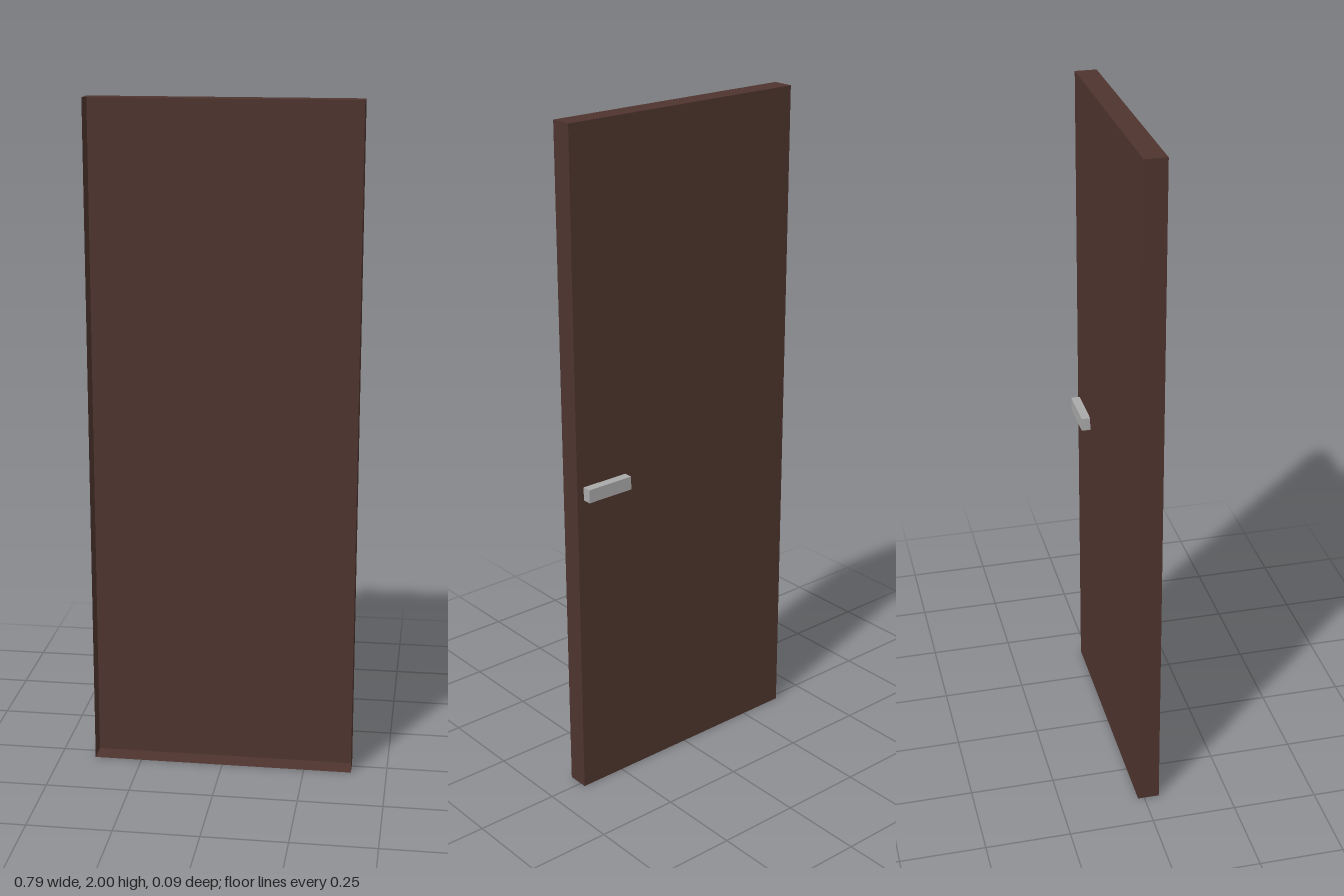
import * as THREE from 'three';

// Box without its front (+z) face, given by its bounds
function openBox(name, material, [x0, x1], [y0, y1], [z0, z1]) {
  const geometry = new THREE.BoxGeometry(x1 - x0, y1 - y0, z1 - z0);
  const index = Array.from(geometry.index.array);
  index.splice(24, 6); // the six indices of the +z face
  geometry.setIndex(index);
  geometry.clearGroups();
  const mesh = new THREE.Mesh(geometry, material);
  mesh.name = name;
  mesh.position.set((x0 + x1) / 2, (y0 + y1) / 2, (z0 + z1) / 2);
  return mesh;
}

export function createModel() {
  const wood = new THREE.MeshStandardMaterial({ color: 0x4e342e, side: THREE.DoubleSide });
  wood.name = 'dark brown wood';
  const metal = new THREE.MeshStandardMaterial({ color: 0xa9a9a9, side: THREE.DoubleSide });
  metal.name = 'grey metal';

  const door = new THREE.Group();
  door.name = 'door';
  // Thin shell: back panel with four rims, open at the front
  door.add(openBox('doorPanel', wood, [-0.393, 0.393], [0, 2], [-0.019, 0.045]));
  // Bar handle on the back, its open side against the panel
  door.add(openBox('handle', metal, [0.222, 0.371], [0.935, 0.975], [-0.046, -0.0195]));
  return door;
}
